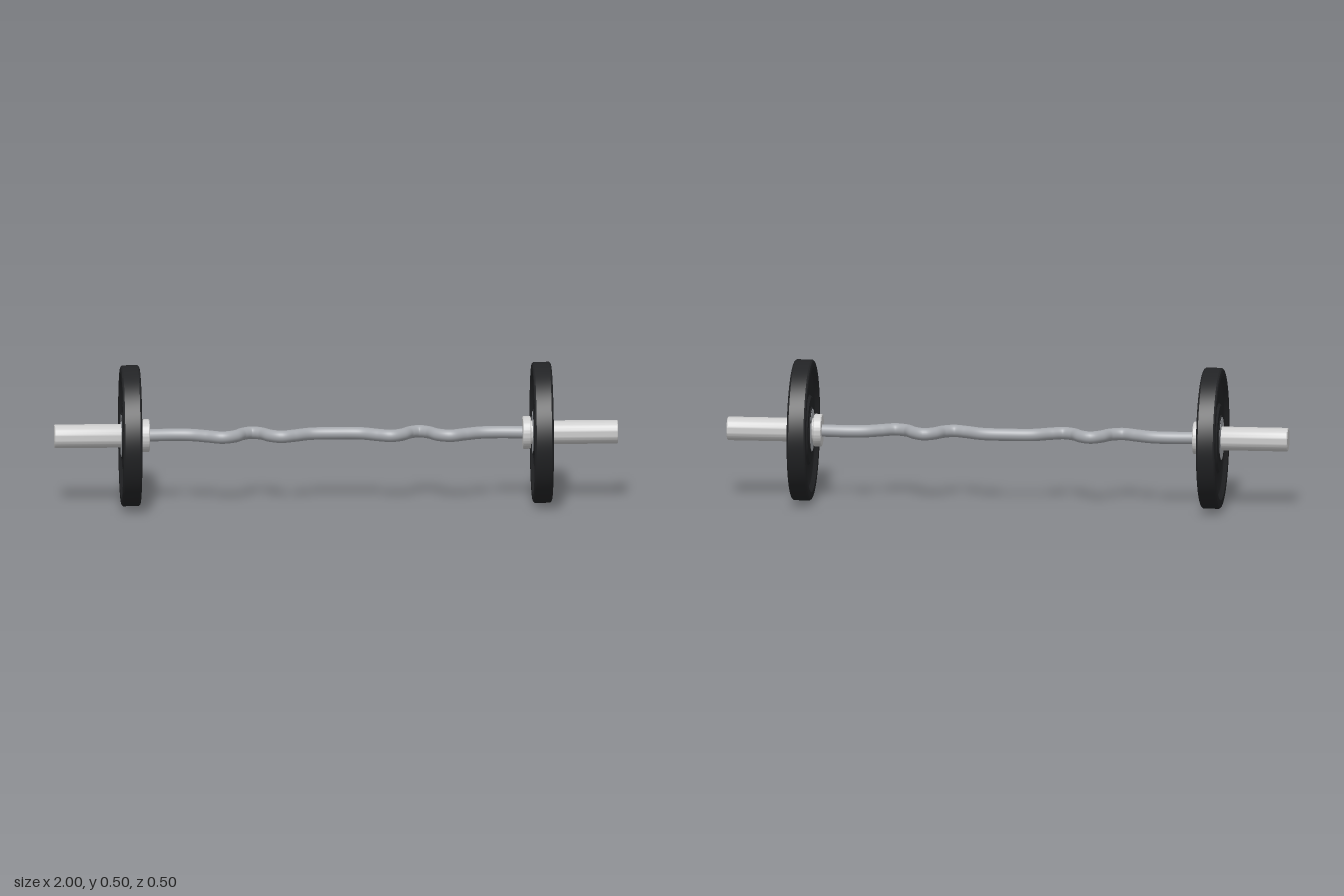
import * as THREE from 'three';
import { toCreasedNormals } from 'three/addons/utils/BufferGeometryUtils.js';

const AXIS_Y = 0.25;
const steel = new THREE.MeshStandardMaterial({ color: 0xcccccc });
const satin = new THREE.MeshStandardMaterial({ color: 0xa5a8ad });
const rubber = new THREE.MeshStandardMaterial({ color: 0x222325 });

// Revolves [radius, x] pairs around the x axis, keeping hard edges sharp
function turned(name, profile, material, segments = 64) {
  const points = profile.map(([r, x]) => new THREE.Vector2(r, x));
  const geometry = new THREE.LatheGeometry(points, segments);
  geometry.rotateZ(-Math.PI / 2);
  const mesh = new THREE.Mesh(toCreasedNormals(geometry, 0.5), material);
  mesh.name = name;
  return mesh;
}

// Profile of one plate face from the bore out to the rim: [radius, half thickness]
const plateFace = [
  [0.075, 0.032], [0.08, 0.032], [0.083, 0.028], [0.117, 0.028], [0.125, 0.02],
  [0.2, 0.02], [0.203, 0.021], [0.217, 0.031], [0.22, 0.033],
  [0.24, 0.034], [0.246, 0.032], [0.25, 0.027],
];

function createPlate() {
  const plate = new THREE.Group();
  plate.name = 'weightPlate';
  const inner = plateFace.map(([r, h]) => [r, -h]);
  const outer = plateFace.map(([r, h]) => [r, h]).reverse();
  plate.add(turned('plateBody', [...inner, ...outer], rubber, 96));
  // Metal bushing around the bore
  plate.add(turned('plateBushing', [
    [0.04, -0.033], [0.075, -0.033], [0.077, -0.031],
    [0.077, 0.031], [0.075, 0.033], [0.04, 0.033],
  ], satin));
  plate.position.x = 0.73;
  return plate;
}

// Sleeve, collar and plate for one end of the bar
function createEnd(name) {
  const end = new THREE.Group();
  end.name = name;
  end.add(turned('sleeve', [
    [0, 0.665], [0.041, 0.665], [0.042, 0.668], [0.042, 0.997], [0.039, 1], [0, 1],
  ], steel));
  end.add(turned('collar', [
    [0, 0.662], [0.055, 0.662], [0.058, 0.665], [0.058, 0.688], [0.055, 0.691], [0.04, 0.691], [0.04, 0.7],
  ], steel));
  end.add(createPlate());
  return end;
}

// Wavy grip: half of the centre line as [x, z], mirrored across x = 0
function createHandle() {
  const half = [
    [0.09, -0.008], [0.15, 0.022], [0.195, 0.039], [0.235, 0.018], [0.262, -0.018],
    [0.297, -0.036], [0.332, -0.014], [0.36, 0.025], [0.405, 0.045], [0.455, 0.022],
    [0.51, -0.003], [0.57, -0.01], [0.68, -0.003],
  ];
  const line = [...half.map(([x, z]) => [-x, z]).reverse(), [0, -0.014], ...half];
  const curve = new THREE.CatmullRomCurve3(line.map(([x, z]) => new THREE.Vector3(x, 0, z)));
  const handle = new THREE.Mesh(new THREE.TubeGeometry(curve, 240, 0.022, 24), satin);
  handle.name = 'curvedHandle';
  return handle;
}

export function createModel() {
  const model = new THREE.Group();
  model.name = 'curlBarbell';
  const right = createEnd('rightEnd');
  right.rotation.y = Math.PI;
  model.add(createHandle(), createEnd('leftEnd'), right);
  for (const part of model.children) part.position.y = AXIS_Y;
  return model;
}
